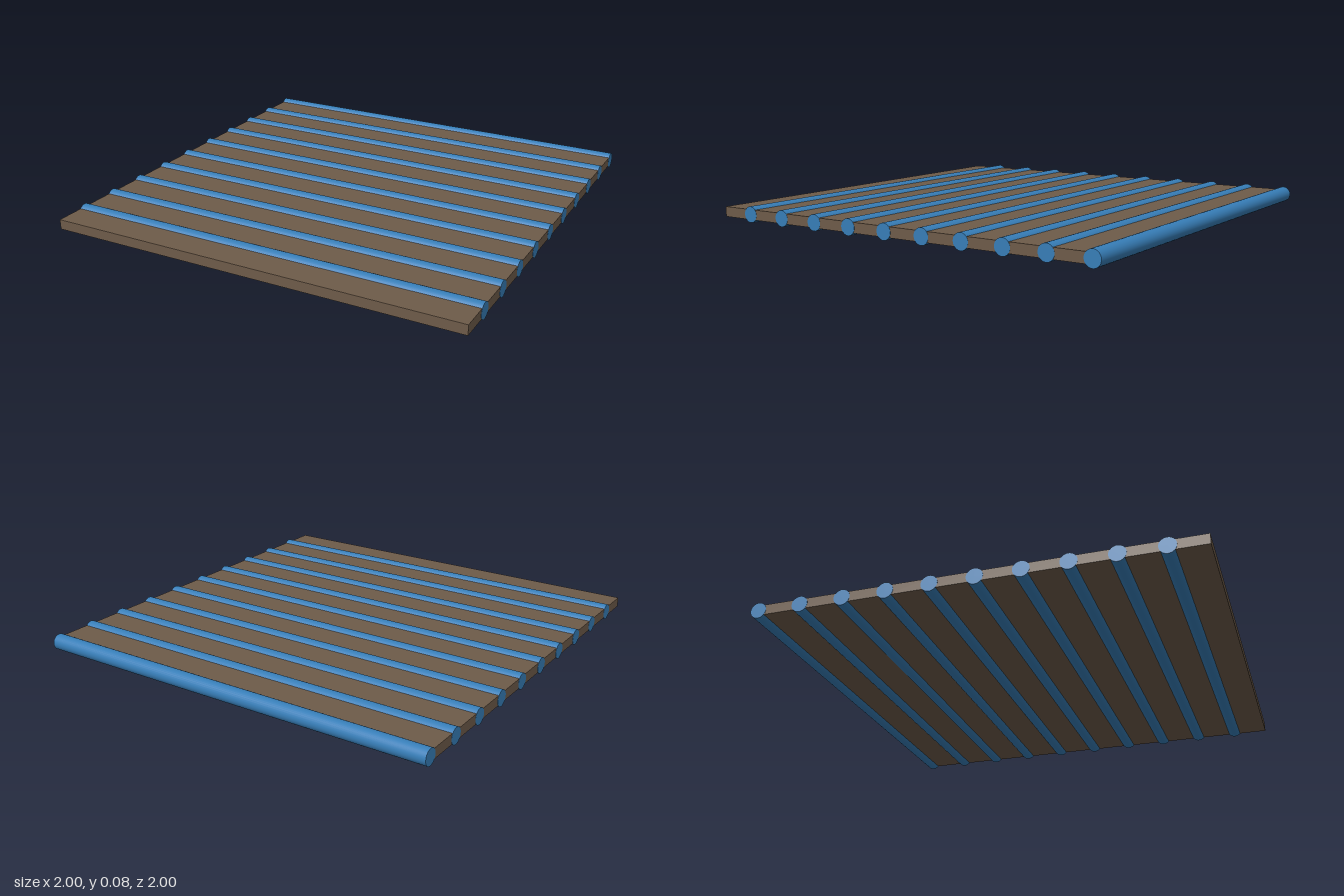
import * as THREE from 'three';

export function createModel() {
  const group = new THREE.Group();
  const wood = new THREE.MeshStandardMaterial({ color: 0x6e5b49 });
  wood.name = 'brown slat';
  const blue = new THREE.MeshStandardMaterial({ color: 0x377eb8 });
  blue.name = 'blue rod';

  const count = 10, radius = 0.0375, step = 0.1995;
  const firstZ = -1 + radius, thickness = 0.047;

  // Rods run along x; each is followed by a flat slat reaching the next rod
  const rodGeometry = new THREE.CylinderGeometry(radius, radius, 2, 32).rotateZ(Math.PI / 2);
  for (let i = 0; i < count; i++) {
    const z = firstZ + i * step;
    const rod = new THREE.Mesh(rodGeometry, blue);
    rod.name = `rod${i + 1}`;
    rod.position.set(0, radius, z);
    group.add(rod);

    // Slat ends sit just inside the rod ends so the round caps stay clean
    const end = i === count - 1 ? 1 : z + step;
    const slat = new THREE.Mesh(new THREE.BoxGeometry(1.998, thickness, end - z), wood);
    slat.name = `slat${i + 1}`;
    slat.position.set(0, radius, (z + end) / 2);
    group.add(slat);
  }
  return group;
}
